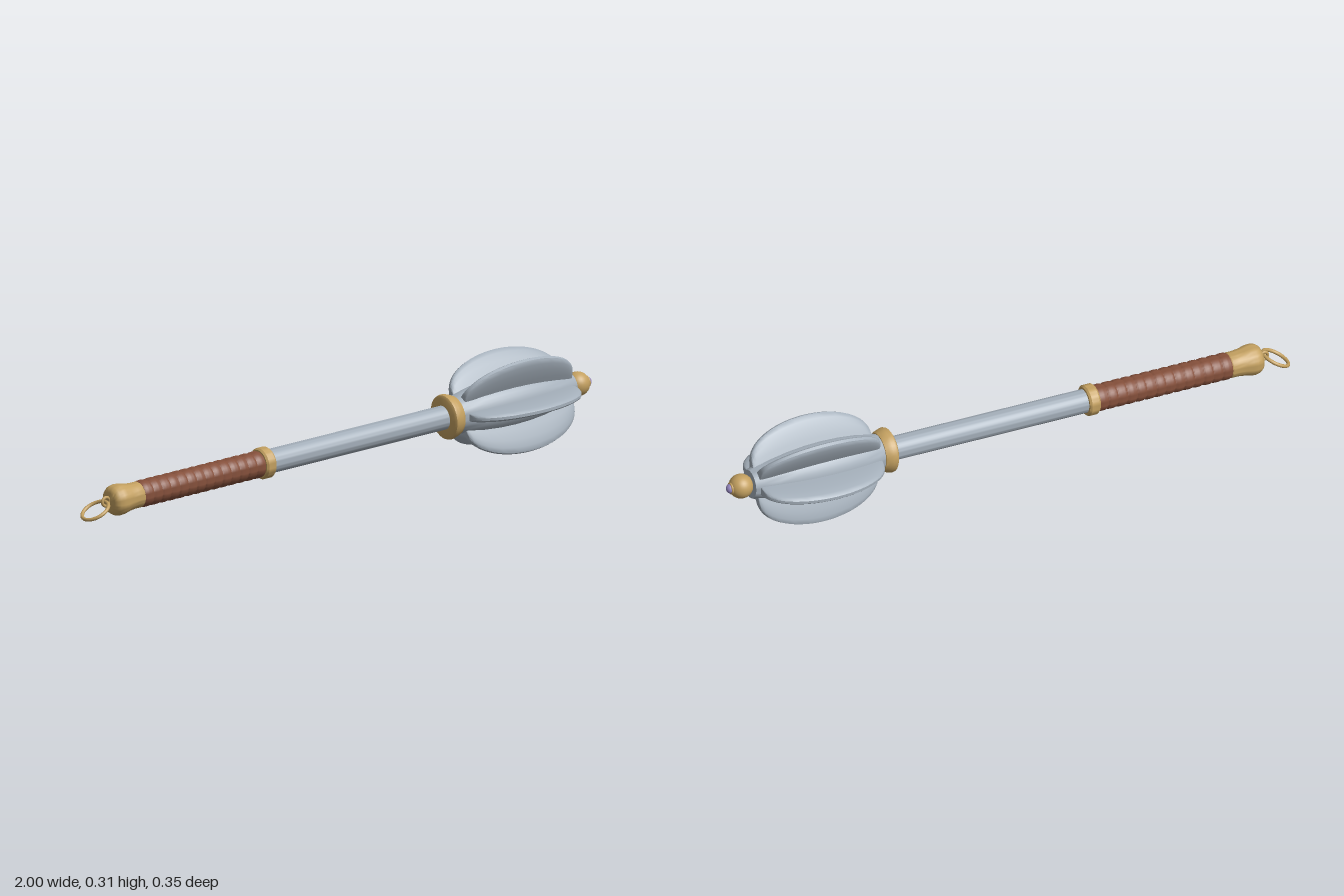
import * as THREE from 'three';
import { toCreasedNormals } from 'three/addons/utils/BufferGeometryUtils.js';

const mat = (name, color) => {
  const m = new THREE.MeshStandardMaterial({ color });
  m.name = name;
  return m;
};

export function createModel() {
  const steel = mat('steel', 0xa4afba);
  const brass = mat('brass', 0xc3a060);
  const leather = mat('leather', 0x85503b);
  const gem = mat('violet gem', 0x9688c2);

  const model = new THREE.Group();
  model.name = 'flangedMace';
  // The whole weapon lies along x, tilted up towards the head
  const mace = new THREE.Group();
  mace.name = 'mace';
  mace.rotation.z = 0.0608;
  mace.position.y = 0.109;
  model.add(mace);

  const add = (name, geometry, material, parent = mace) => {
    const mesh = new THREE.Mesh(geometry, material);
    mesh.name = name;
    parent.add(mesh);
    return mesh;
  };

  // Turned part: profile is a list of [position along the axis, radius]
  const turned = (name, profile, material) => {
    const pts = profile.map(([s, r]) => new THREE.Vector2(r, s));
    const geo = new THREE.LatheGeometry(pts, 40).rotateZ(-Math.PI / 2);
    return add(name, toCreasedNormals(geo, 0.6), material);
  };

  // Handle
  turned('pommel', [[-0.9, 0], [-0.9, 0.03], [-0.895, 0.041], [-0.885, 0.048], [-0.87, 0.051],
    [-0.855, 0.05], [-0.835, 0.045], [-0.81, 0.042], [-0.787, 0.042], [-0.784, 0.04], [-0.784, 0]], brass);

  const grip = [[-0.786, 0.036]];
  const wraps = 14, ends = [-0.784, -0.308];
  for (let i = 0; i <= wraps * 6; i++) {
    const f = i / (wraps * 6);
    const bulge = Math.abs(Math.sin(f * wraps * Math.PI));
    grip.push([ends[0] + (ends[1] - ends[0]) * f, 0.0405 + 0.0035 * Math.sqrt(bulge)]);
  }
  turned('grip', grip, leather);

  turned('gripCollar', [[-0.31, 0.036], [-0.31, 0.046], [-0.304, 0.051], [-0.278, 0.051],
    [-0.272, 0.046], [-0.272, 0.036]], brass);
  turned('shaft', [[-0.3, 0.039], [0.45, 0.039]], steel);

  // Head
  turned('headCollar', [[0.418, 0.036], [0.418, 0.064], [0.423, 0.072], [0.43, 0.074], [0.44, 0.072],
    [0.452, 0.068], [0.462, 0.063], [0.462, 0.04]], brass);
  turned('headCore', [[0.455, 0.058], [0.49, 0.067], [0.54, 0.077], [0.6, 0.083], [0.66, 0.085],
    [0.72, 0.083], [0.78, 0.077], [0.84, 0.067], [0.89, 0.055], [0.918, 0.046], [0.918, 0]], steel);

  const flange = flangeGeometry();
  for (let k = 0; k < 6; k++) {
    add('flange' + (k + 1), flange, steel).rotation.x = Math.PI / 2 + k * Math.PI / 3;
  }

  // Finial with a set stone
  add('finialBall', new THREE.SphereGeometry(0.04, 32, 20), brass).position.x = 0.95;
  const bezel = add('gemBezel', new THREE.TorusGeometry(0.016, 0.004, 10, 32), brass);
  bezel.position.x = 0.986;
  bezel.rotation.y = Math.PI / 2;
  const stone = add('gem', new THREE.SphereGeometry(0.016, 24, 16), gem);
  stone.position.x = 0.986;

  // Eyelet and hanging ring
  const eyelet = add('eyelet', new THREE.TorusGeometry(0.014, 0.005, 10, 24), brass, model);
  eyelet.position.set(-0.911, 0.056, 0);
  const ring = add('hangingRing', new THREE.TorusGeometry(0.046, 0.006, 10, 40).rotateX(Math.PI / 2), brass, model);
  ring.position.set(-0.953, 0.033, 0);
  ring.rotation.z = 0.53;

  return model;
}

// Rounded blade: bevelled cross-sections swept along x, standing out along +y
function flangeGeometry() {
  const root = 0.035, stations = 32;
  // [fraction of the height, half thickness], up one side
  const half = [[0, 0.022], [0.45, 0.021], [0.7, 0.018], [0.88, 0.0135], [0.97, 0.009], [1, 0.005]];
  const outline = [...half, ...half.map(([f, w]) => [f, -w]).reverse()];
  const n = outline.length;
  const pos = [], idx = [];
  for (let i = 0; i <= stations; i++) {
    const a = Math.PI * i / stations;
    const t = -Math.cos(a), round = Math.sin(a);
    const height = 0.068 + 0.106 * round - root;
    for (const [f, w] of outline) {
      pos.push(0.69 + 0.213 * t, root + f * height, w * (0.6 + 0.4 * round));
    }
  }
  for (let i = 0; i < stations; i++) {
    for (let j = 0; j < n; j++) {
      const a = i * n + j, b = i * n + (j + 1) % n;
      idx.push(a, a + n, b, b, a + n, b + n);
    }
  }
  // End caps
  const last = stations * n;
  for (let j = 1; j < n - 1; j++) {
    idx.push(0, j, j + 1, last, last + j + 1, last + j);
  }
  const geo = new THREE.BufferGeometry();
  geo.setAttribute('position', new THREE.Float32BufferAttribute(pos, 3));
  geo.setIndex(idx);
  return toCreasedNormals(geo, 0.5);
}
